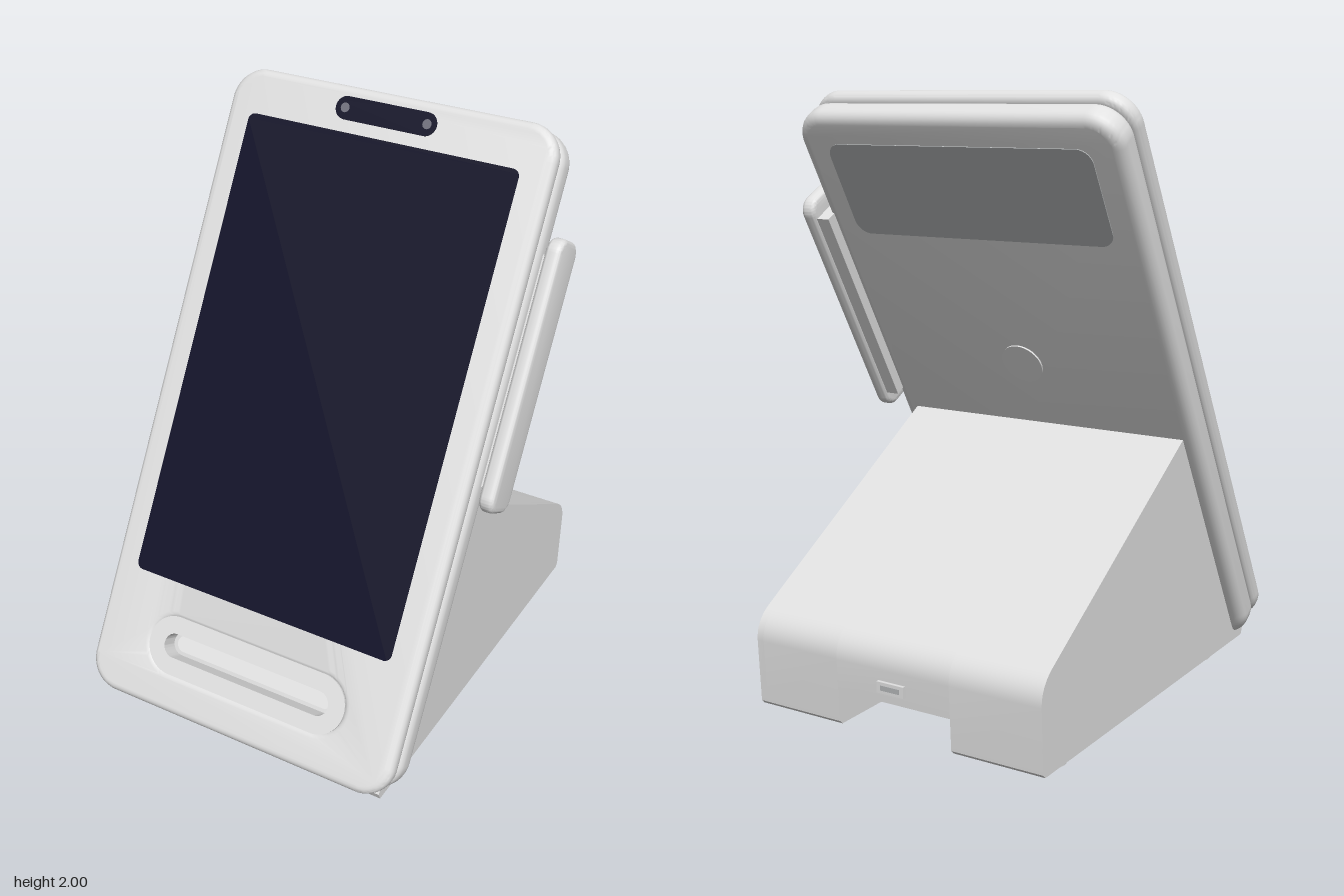
import * as THREE from 'three';
import { toCreasedNormals } from 'three/addons/utils/BufferGeometryUtils.js';

const paint = (name, color) => {
  const m = new THREE.MeshStandardMaterial({ color });
  m.name = name;
  return m;
};

// Rounded rectangle centred on (cx, cy)
function roundRect(w, h, r, cx = 0, cy = 0) {
  const s = new THREE.Shape();
  const a = w / 2 - r, b = h / 2 - r;
  s.absarc(cx + a, cy + b, r, 0, Math.PI / 2);
  s.absarc(cx - a, cy + b, r, Math.PI / 2, Math.PI);
  s.absarc(cx - a, cy - b, r, Math.PI, Math.PI * 1.5);
  s.absarc(cx + a, cy - b, r, Math.PI * 1.5, Math.PI * 2);
  s.closePath();
  return s;
}

// Extrusion filling z from 0 to depth, edges rounded by bevel
function extrude(shape, depth, bevel = 0) {
  const g = new THREE.ExtrudeGeometry(shape, {
    depth: depth - 2 * bevel, curveSegments: 10, bevelEnabled: bevel > 0,
    bevelThickness: bevel, bevelSize: bevel, bevelOffset: -bevel, bevelSegments: 5,
  });
  return toCreasedNormals(g.translate(0, 0, bevel), 0.6);
}

export function createModel() {
  const body = paint('body grey', 0xe0e0e0);
  const glass = paint('dark glass', 0x0e0e26);
  const trim = paint('trim grey', 0xb2b5b6);
  const white = paint('slot white', 0xffffff);
  const lensGrey = paint('lens grey', 0x70707c);
  const dark = paint('mark dark', 0x2a2a2a);

  const model = new THREE.Group();
  const add = (parent, name, geometry, material, x = 0, y = 0, z = 0) => {
    const m = new THREE.Mesh(geometry, material);
    m.name = name;
    m.position.set(x, y, z);
    parent.add(m);
    return m;
  };

  // Display head: local y runs up the screen, local z out of it
  const head = new THREE.Group();
  head.name = 'displayHead';
  head.rotation.x = -Math.PI / 6;
  model.add(head);
  const cx = -0.037, cy = 0.814;
  const front = 0.735;

  const slotY = -0.0435 - cy;
  const frontShape = roundRect(1.175, 2.17, 0.11);
  frontShape.holes.push(roundRect(0.74, 0.18, 0.09, 0, slotY));
  add(head, 'frontPlate', extrude(frontShape, 0.063, 0.026), body, cx, cy, 0.672);
  add(head, 'backPlate', extrude(roundRect(1.175, 2.16, 0.11), 0.1, 0.035), body, cx, cy, 0.57);

  // Slot in the chin with a white strip at its bottom
  const surround = roundRect(0.76, 0.2, 0.1);
  surround.holes.push(roundRect(0.64, 0.082, 0.041));
  add(head, 'slotSurround', extrude(surround, 0.063), body, cx, -0.0435, 0.673);
  add(head, 'slotStrip', extrude(roundRect(0.61, 0.056, 0.028), 0.006), white, cx, -0.0435, 0.669);

  // Screen and camera bar
  add(head, 'screen', extrude(roundRect(0.985, 1.582, 0.025), 0.004), glass, -0.0425, 0.956, front - 0.001);
  add(head, 'cameraBar', extrude(roundRect(0.365, 0.076, 0.038), 0.004), glass, -0.0425, 1.825, front - 0.001);
  for (const x of [-0.19, 0.107]) {
    add(head, 'cameraLens', new THREE.CircleGeometry(0.016, 24), lensGrey, x, 1.825, front + 0.005);
  }

  // Rear window and round button
  add(head, 'rearWindow', extrude(roundRect(0.96, 0.34, 0.05), 0.005), trim, cx, 1.62, 0.567);
  const button = add(head, 'rearButton', new THREE.CylinderGeometry(0.075, 0.075, 0.012, 32), body, cx, 0.95, 0.57);
  button.rotation.x = Math.PI / 2;

  // Card reader on the left side, held by a neck
  const reader = add(head, 'sideReader', extrude(roundRect(0.16, 0.88, 0.05), 0.053, 0.018), body, 0.572, 1.14, 0.604);
  reader.rotation.y = Math.PI / 2;
  add(head, 'readerNeck', new THREE.BoxGeometry(0.06, 0.75, 0.09), body, 0.555, 1.145, 0.58);

  // Wedge base: side profile extruded across x; the middle has a cable notch
  const profile = (notch) => {
    const s = new THREE.Shape();
    s.moveTo(-0.68, 0.05);
    s.lineTo(-0.69, 0.075);
    s.lineTo(-0.18, 0.9);
    s.lineTo(0.69, 0.374);
    s.quadraticCurveTo(0.753, 0.336, 0.751, 0.27);
    if (notch) {
      s.lineTo(0.745, 0.165);
      s.lineTo(0.29, 0.165);
      s.quadraticCurveTo(0.25, 0.16, 0.17, 0.05);
    } else {
      s.lineTo(0.74, 0.062);
      s.lineTo(0.728, 0.05);
    }
    s.closePath();
    return s;
  };
  const base = new THREE.Group();
  base.name = 'base';
  model.add(base);
  const across = (name, shape, x0, x1, material) => {
    const m = add(base, name, extrude(shape, x1 - x0), material, x0);
    m.rotation.y = Math.PI / 2;
    return m;
  };
  across('baseRight', profile(false), -0.57, -0.25, body);
  across('baseMiddle', profile(true), -0.25, 0.17, body);
  across('baseLeft', profile(false), 0.17, 0.465, body);

  // Left wall with a recess holding a sliding switch
  const wall = profile(false);
  wall.holes.push(roundRect(0.395, 0.24, 0.05, -0.1, 0.36));
  across('baseLeftWall', wall, 0.465, 0.49, body);
  across('recessFloor', roundRect(0.395, 0.24, 0.05, -0.1, 0.36), 0.462, 0.468, trim);
  across('slideSwitch', roundRect(0.108, 0.224, 0.054, 0.055, 0.36), 0.465, 0.489, body);
  for (const side of [1, -1]) {
    const mark = add(base, 'switchArrow', new THREE.BoxGeometry(0.004, 0.006, 0.032), dark, 0.469, 0.36 + side * 0.008, 0.2);
    mark.rotation.x = side * 0.55;
  }

  // Rear socket
  add(base, 'rearSocket', new THREE.BoxGeometry(0.1, 0.036, 0.03), body, -0.04, 0.217, -0.745);
  add(base, 'socketOpening', new THREE.BoxGeometry(0.07, 0.016, 0.004), trim, -0.04, 0.217, -0.76);

  // Feet
  for (const x of [-0.447, 0.37]) {
    for (const z of [0.51, -0.53]) {
      add(base, 'foot', new THREE.CylinderGeometry(0.073, 0.073, 0.06, 32), body, x, 0.03, z);
    }
  }
  return model;
}
